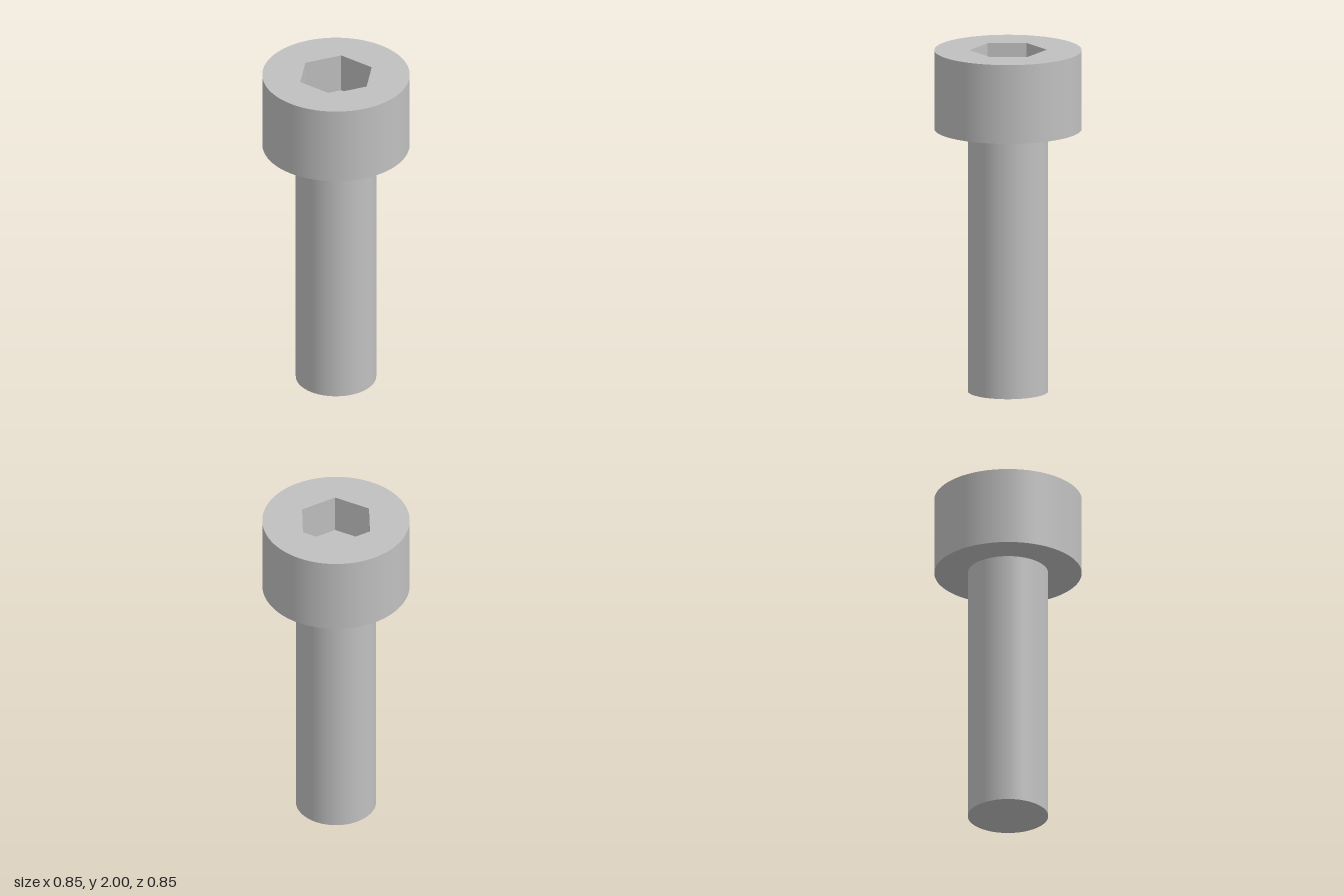
import * as THREE from 'three';

// Socket head cap screw: dimensions
const HEAD_R = 0.423, SHAFT_R = 0.231;
const TOP = 2, HEAD_BOTTOM = 1.538;
const HEX_R = 0.222, HEX_FLAT = HEX_R * Math.cos(Math.PI / 6);
const SOCKET_DEPTH = 0.231;
const SIDES = 96;

export function createModel() {
  const steel = new THREE.MeshStandardMaterial({ color: 0xc0c0c0 });
  steel.name = 'steel';
  const model = new THREE.Group();
  model.name = 'capScrew';

  const add = (name, geometry, parent = model) => {
    const mesh = new THREE.Mesh(geometry, steel);
    mesh.name = name;
    parent.add(mesh);
    return mesh;
  };

  // Plain cylindrical shaft with a flat end
  add('shaft', new THREE.CylinderGeometry(SHAFT_R, SHAFT_R, HEAD_BOTTOM, SIDES)
    .translate(0, HEAD_BOTTOM / 2, 0));

  // Head: outer wall, underside and top face with a hexagonal opening
  const head = new THREE.Group();
  head.name = 'head';
  model.add(head);
  const headHeight = TOP - HEAD_BOTTOM;
  add('headWall', new THREE.CylinderGeometry(HEAD_R, HEAD_R, headHeight, SIDES, 1, true)
    .translate(0, HEAD_BOTTOM + headHeight / 2, 0), head);
  add('headUnderside', new THREE.RingGeometry(SHAFT_R, HEAD_R, SIDES)
    .rotateX(Math.PI / 2).translate(0, HEAD_BOTTOM, 0), head);

  const hexPoints = [];
  for (let i = 0; i < 6; i++) {
    const a = i * Math.PI / 3;
    hexPoints.push(new THREE.Vector2(Math.cos(a) * HEX_R, Math.sin(a) * HEX_R));
  }
  const face = new THREE.Shape().absarc(0, 0, HEAD_R, 0, Math.PI * 2);
  face.holes.push(new THREE.Path(hexPoints));
  add('headTop', new THREE.ShapeGeometry(face, SIDES)
    .rotateX(-Math.PI / 2).translate(0, TOP, 0), head);

  // Hex socket: six inward-facing walls and a floor
  const socket = new THREE.Group();
  socket.name = 'hexSocket';
  head.add(socket);
  for (let i = 0; i < 6; i++) {
    add('socketWall', new THREE.PlaneGeometry(HEX_R, SOCKET_DEPTH)
      .translate(0, TOP - SOCKET_DEPTH / 2, -HEX_FLAT)
      .rotateY(i * Math.PI / 3), socket);
  }
  add('socketFloor', new THREE.CircleGeometry(HEX_R, 6)
    .rotateX(-Math.PI / 2).translate(0, TOP - SOCKET_DEPTH, 0), socket);

  return model;
}
